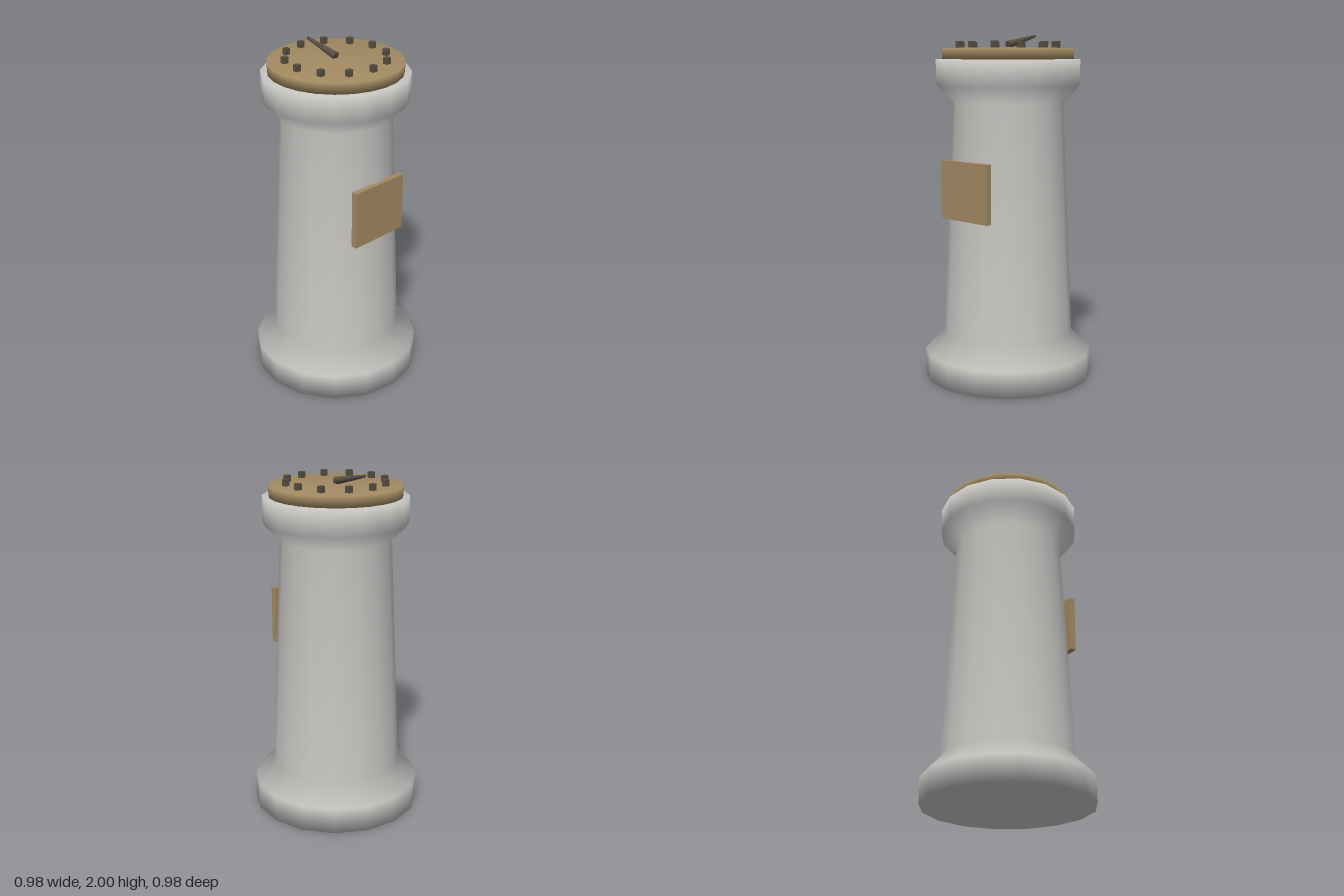
import * as THREE from 'three';

function material(name, color) {
  const m = new THREE.MeshStandardMaterial({ color });
  m.name = name;
  return m;
}

// Closed turned solid from [radius, height] pairs, bottom to top
function turned(profile, sides) {
  return new THREE.LatheGeometry(profile.map(([r, y]) => new THREE.Vector2(r, y)), sides);
}

export function createModel() {
  const stone = material('stone', 0xc6c4c1);
  const brass = material('brass', 0xa28a62);
  const darkMetal = material('dark metal', 0x574e42);

  const model = new THREE.Group();
  model.name = 'sundial';
  const add = (name, geometry, mat, parent = model) => {
    const mesh = new THREE.Mesh(geometry, mat);
    mesh.name = name;
    parent.add(mesh);
    return mesh;
  };

  // Sixteen-sided pedestal: plinth, tapering shaft and flared capital
  add('pedestal', turned([
    [0, 0], [0.49, 0], [0.49, 0.15], [0.378, 0.265],
    [0.318, 1.615], [0.415, 1.71], [0.415, 1.86], [0, 1.86],
  ], 16), stone);

  // Round dial plate
  add('dial', turned([[0, 1.86], [0.378, 1.86], [0.378, 1.922], [0, 1.927]], 24), brass);

  // Plaque on the front of the shaft
  add('plaque', new THREE.BoxGeometry(0.372, 0.336, 0.034), brass).position.set(0, 1.123, 0.336);

  // Ring of twelve hour markers
  const markers = new THREE.Group();
  markers.name = 'hourMarkers';
  model.add(markers);
  const markerBox = new THREE.BoxGeometry(0.03, 0.036, 0.03);
  for (let i = 0; i < 12; i++) {
    const a = (i / 12) * Math.PI * 2;
    add('hourMarker', markerBox, darkMetal, markers)
      .position.set(Math.sin(a) * 0.284, 1.942, Math.cos(a) * 0.284);
  }

  // Tapered gnomon, rising from the dial centre towards the back
  const foot = new THREE.Vector3(0, 1.941, 0);
  const tip = new THREE.Vector3(0, 1.993, -0.226);
  const axis = tip.clone().sub(foot);
  const gnomon = add('gnomon', new THREE.CylinderGeometry(0.008, 0.022, axis.length(), 10), darkMetal);
  gnomon.position.copy(foot).add(tip).multiplyScalar(0.5);
  gnomon.quaternion.setFromUnitVectors(new THREE.Vector3(0, 1, 0), axis.normalize());

  return model;
}
